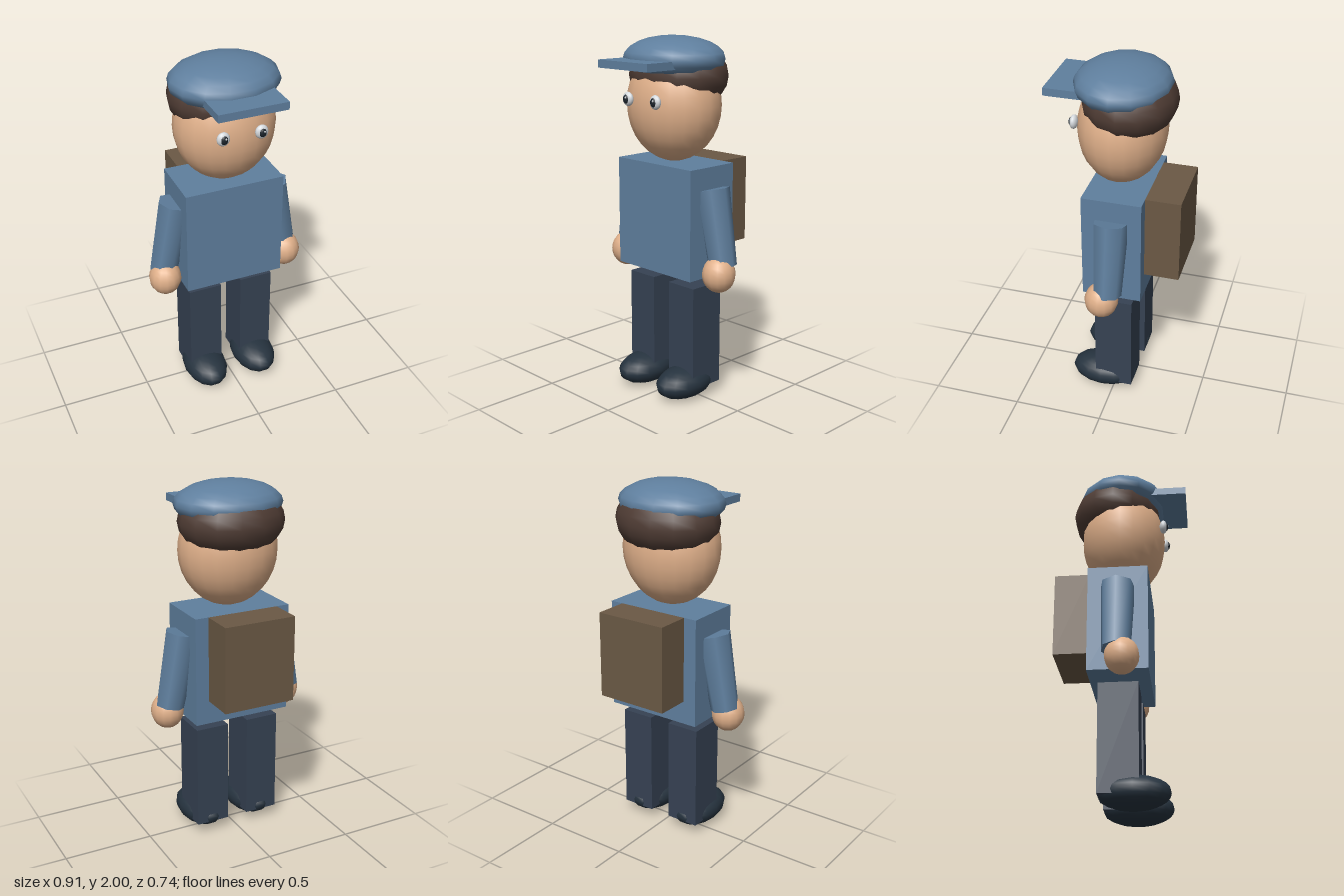
import * as THREE from 'three';

const mat = (color) => new THREE.MeshStandardMaterial({ color });

export function createModel() {
  const model = new THREE.Group();
  model.name = 'figure';

  const blue = mat(0x5f7f9e), navy = mat(0x364253), skin = mat(0xe0b08a);
  const brown = mat(0x4f3c34), leather = mat(0x6b5945), black = mat(0x26333f);
  const white = mat(0xd4d8dc), pupilDark = mat(0x1c242c);

  const add = (name, geometry, material, x, y, z) => {
    const mesh = new THREE.Mesh(geometry, material);
    mesh.name = name;
    mesh.position.set(x, y, z);
    model.add(mesh);
    return mesh;
  };
  const box = (name, material, [w, h, d], [x, y, z]) =>
    add(name, new THREE.BoxGeometry(w, h, d), material, x, y, z);
  // Ellipsoid given by its three radii
  const ball = (name, material, [rx, ry, rz], [x, y, z], ws = 14, hs = 12) => {
    const mesh = add(name, new THREE.SphereGeometry(1, ws, hs), material, x, y, z);
    mesh.scale.set(rx, ry, rz);
    return mesh;
  };

  // Body and backpack
  box('torso', blue, [0.56, 0.605, 0.327], [0, 1.0225, -0.013]);
  box('backpack', leather, [0.41, 0.475, 0.193], [0, 1.0875, -0.272]);

  // Head, hair and cap
  ball('head', skin, [0.277, 0.31, 0.238], [0, 1.635, -0.003], 20, 16);
  ball('hair', brown, [0.293, 0.19, 0.251], [0, 1.79, -0.04]);
  ball('cap', blue, [0.3, 0.12, 0.256], [0, 1.88, -0.005]);
  box('capVisor', blue, [0.376, 0.042, 0.24], [0, 1.86, 0.247]);

  for (const s of [1, -1]) {
    const side = s > 0 ? 'left' : 'right';

    // Eye with pupil and glint
    ball(side + 'Eye', white, [0.036, 0.038, 0.022], [s * 0.105, 1.671, 0.233]);
    ball(side + 'Pupil', pupilDark, [0.02, 0.024, 0.012], [s * 0.105, 1.671, 0.248]);
    ball(side + 'EyeGlint', white, [0.005, 0.006, 0.004], [s * 0.105 + 0.006, 1.68, 0.258], 8, 6);

    // Tapered sleeve leaning outward, with a hand at its end
    const sleeve = new THREE.CylinderGeometry(0.096, 0.078, 0.42, 7, 1, false, s * Math.PI / 2);
    const arm = add(side + 'Arm', sleeve, blue, s * 0.322, 0.999, -0.013);
    arm.rotation.z = s * 0.2;
    ball(side + 'Hand', skin, [0.09, 0.1, 0.092], [s * 0.365, 0.756, 0.018]);

    // Leg and shoe
    box(side + 'Leg', navy, [0.19, 0.59, 0.213], [s * 0.155, 0.365, -0.012]);
    ball(side + 'Shoe', black, [0.122, 0.09, 0.192], [s * 0.155, 0.092, 0.062]);
  }

  return model;
}
